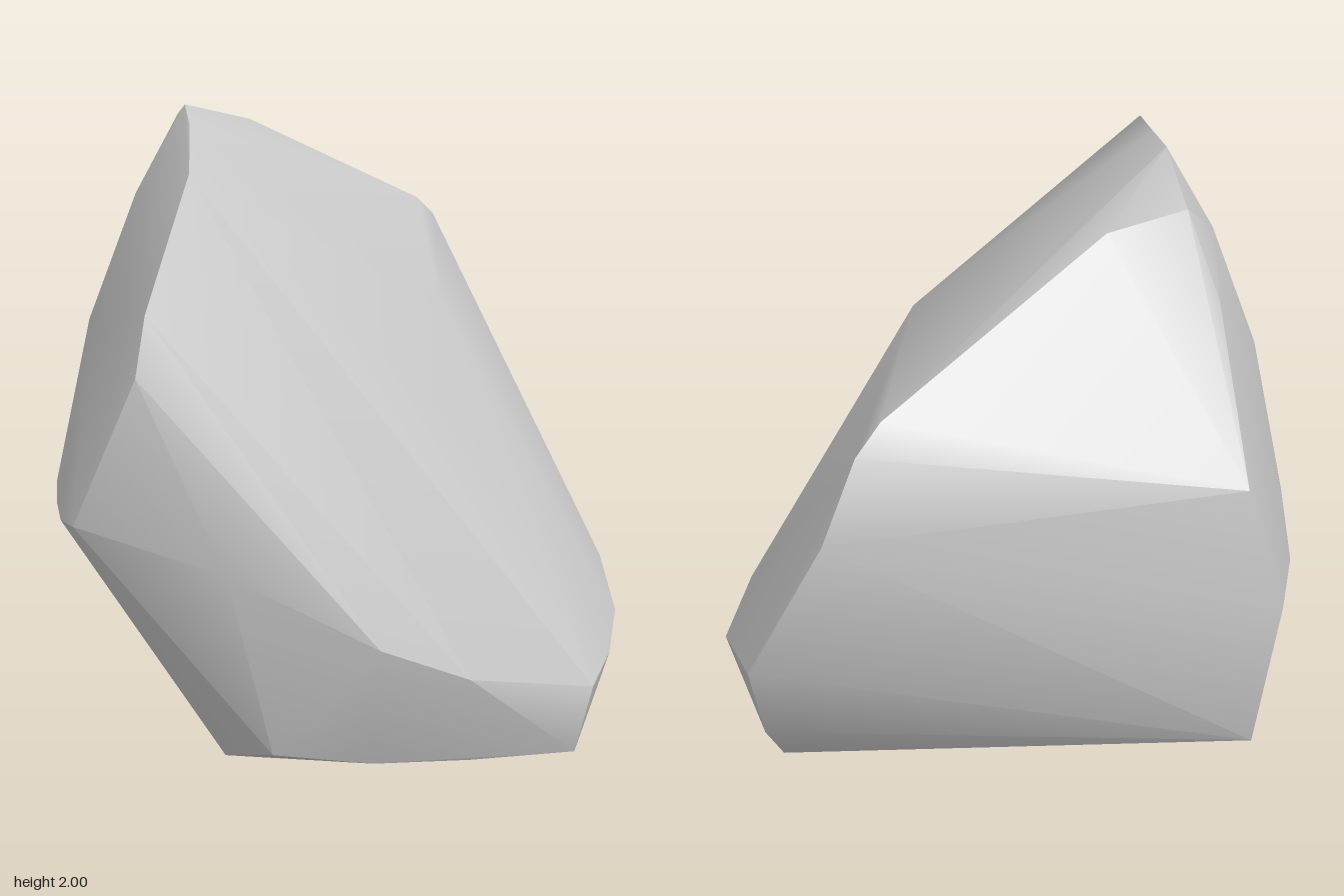
import * as THREE from 'three';
import { ConvexGeometry } from 'three/addons/geometries/ConvexGeometry.js';
import { toCreasedNormals } from 'three/addons/utils/BufferGeometryUtils.js';

// Chiselled boulder: the convex skin around the edge lines of its facets.

// crest running from the front left corner over the peak to the back left corner
const crest = [
  [-0.66, 1.36, 0.92], [-0.63, 1.52, 0.86], [-0.5, 1.87, 0.66], [-0.49, 1.96, 0.27], [-0.5, 2, 0.03],
  [-0.52, 1.94, -0.31], [-0.6, 1.73, -0.48], [-0.64, 1.36, -0.9],
];
// border of the sloping back facet, down to the back right corner
const backSlope = [
  [-0.28, 1.91, -0.4], [0.15, 1.65, -0.69], [0.36, 1.57, -0.84], [0.43, 1.5, -0.91], [0.53, 1.25, -0.96],
];
// soft ridge where the top, front and side slopes meet
const softRidge = [[-0.1, 1.6, 0.45], [0.28, 1.39, 0.22], [0.36, 1.4, -0.4], [0.5, 0.88, 0.47]];
// widest line: along the front, round the side, up to the back
const rim = [
  [-0.43, 0.8, 0.95], [0, 0.56, 0.96], [0.27, 0.43, 0.9], [0.57, 0.35, 0.77], [0.68, 0.31, 0.73],
  [0.8, 0.3, 0.47], [0.89, 0.33, 0.2], [0.94, 0.37, -0.2], [0.78, 0.73, -0.85],
];
// widest line on the other side, front to back
const sideRim = [
  [-0.85, 0.91, 0.81], [-0.9, 0.85, 0.58], [-0.93, 0.81, 0.3], [-0.95, 0.78, 0], [-0.93, 0.7, -0.3],
  [-0.76, 0.98, -0.93], [-0.71, 0.48, -0.92], [-0.82, 1.33, 0.03], [-0.66, 1.73, 0.04],
];
// underside outline
const base = [
  [-0.3, 0.18, 0.82], [0, 0.125, 0.8], [0.3, 0.1, 0.76], [0.63, 0.095, 0.73], [0.74, 0.03, 0.3],
  [0.76, 0.03, -0.22], [0.75, 0.05, -0.43], [0.77, 0.36, -0.68], [-0.42, 0.04, -0.4],
  [-0.43, 0.02, 0.5], [0.4, 0, 0.2], [-0.4, 0.01, 0.2],
];

export function createModel() {
  const points = [crest, backSlope, softRidge, rim, sideRim, base]
    .flat()
    .map((p) => new THREE.Vector3(...p));
  const geometry = toCreasedNormals(new ConvexGeometry(points), 0.55);
  const boulder = new THREE.Mesh(
    geometry,
    new THREE.MeshStandardMaterial({ color: 0xcccccc })
  );
  boulder.name = 'boulder';

  const group = new THREE.Group();
  group.name = 'rock';
  group.add(boulder);
  return group;
}
